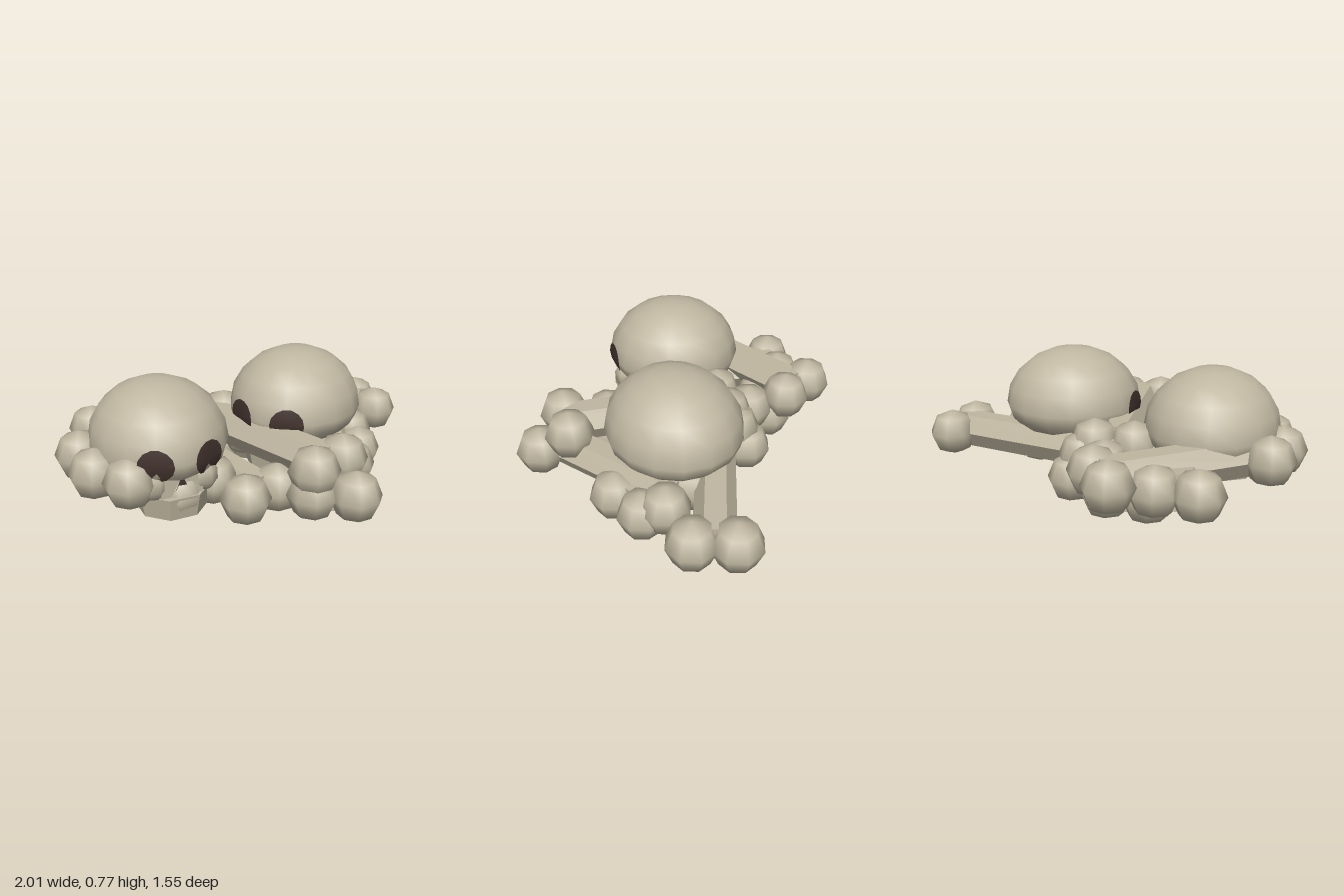
import * as THREE from 'three';

const bone = new THREE.MeshStandardMaterial({ color: 0xc0b7a1 });
bone.name = 'bone';
const hollow = new THREE.MeshStandardMaterial({ color: 0x43332e });
hollow.name = 'hollow';

function add(parent, name, geometry, material, x = 0, y = 0, z = 0) {
  const mesh = new THREE.Mesh(geometry, material);
  mesh.name = name;
  mesh.position.set(x, y, z);
  parent.add(mesh);
  return mesh;
}

// Gives a geometry hard edges
function faceted(geometry) {
  const flat = geometry.index ? geometry.toNonIndexed() : geometry;
  flat.computeVertexNormals();
  return flat;
}

// Long bone: six-sided shaft with a flat top and a pair of knobs at each end
const knob = new THREE.SphereGeometry(0.137, 8, 4);
function makeBone(a, b) {
  const g = new THREE.Group();
  g.name = 'longBone';
  const start = new THREE.Vector3(...a), end = new THREE.Vector3(...b);
  const dir = end.clone().sub(start);
  const shaft = new THREE.CylinderGeometry(0.108, 0.108, dir.length(), 6);
  shaft.rotateY(Math.PI / 6);
  shaft.rotateX(Math.PI / 2);
  const mesh = add(g, 'shaft', faceted(shaft), bone);
  mesh.position.copy(start).add(end).multiplyScalar(0.5);
  mesh.lookAt(end);
  const side = new THREE.Vector3(dir.z, 0, -dir.x).normalize().multiplyScalar(0.108);
  for (const p of [start, end]) {
    for (const s of [-1, 1]) add(g, 'knob', knob, bone, p.x + s * side.x, p.y, p.z + s * side.z);
  }
  return g;
}

// Cranium radii: width, upper height, lower height, depth
const RX = 0.365, RUP = 0.325, RLOW = 0.205, RZ = 0.39;

// Lays a flat outline in x, y onto the front of the cranium
function wrapOnCranium(geometry) {
  const p = geometry.attributes.position;
  for (let i = 0; i < p.count; i++) {
    const x = p.getX(i), y = p.getY(i), ry = y > 0 ? RUP : RLOW;
    p.setZ(i, RZ * Math.sqrt(Math.max(0, 1 - (x / RX) ** 2 - (y / ry) ** 2)) + 0.005);
  }
  geometry.computeVertexNormals();
  return geometry;
}

function makeSkull(x, y, z, yaw) {
  const g = new THREE.Group();
  g.name = 'skull';
  g.position.set(x, y, z);
  g.rotation.y = yaw;

  // Domed top, flatter underside
  const cranium = new THREE.SphereGeometry(1, 16, 10);
  const p = cranium.attributes.position, n = cranium.attributes.normal;
  for (let i = 0; i < p.count; i++) {
    const px = p.getX(i), py = p.getY(i), pz = p.getZ(i), ry = py > 0 ? RUP : RLOW;
    p.setXYZ(i, px * RX, py * ry, pz * RZ);
    const normal = new THREE.Vector3(px / RX, py / ry, pz / RZ).normalize();
    n.setXYZ(i, normal.x, normal.y, normal.z);
  }
  add(g, 'cranium', cranium, bone);

  for (const s of [-1, 1]) {
    // Eye socket with a cheekbone filling its lower edge
    const socket = new THREE.CircleGeometry(0.085, 14);
    socket.scale(1, 1.1, 1);
    socket.translate(s * 0.14, 0, 0);
    add(g, 'eyeSocket', wrapOnCranium(socket), hollow);
    const cheek = add(g, 'cheekbone', new THREE.SphereGeometry(0.09, 7, 5), bone, s * 0.135, -0.115, 0.28);
    cheek.scale.set(0.85, 1, 0.85);
  }

  // Upper jaw with the nose opening on its front
  add(g, 'upperJaw', new THREE.BoxGeometry(0.22, 0.12, 0.2), bone, 0, -0.15, 0.23);
  const nose = new THREE.Shape([[-0.045, -0.05], [0.045, -0.05], [0, 0.05]].map(v => new THREE.Vector2(...v)));
  add(g, 'noseOpening', new THREE.ShapeGeometry(nose), hollow, 0, -0.125, 0.335);

  // Rounded lower jaw
  const jaw = new THREE.CylinderGeometry(0.21, 0.185, 0.125, 8);
  jaw.rotateY(Math.PI / 8);
  add(g, 'lowerJaw', faceted(jaw), bone, 0, -0.25, 0.17);
  return g;
}

export function createModel() {
  const model = new THREE.Group();
  model.name = 'bonePile';

  // Crossed bones, each from end to end
  const bones = [
    [[-0.5, 0.32, -0.5], [-0.765, 0.33, 0.33]],
    [[-0.685, 0.32, 0.555], [-0.17, 0.27, -0.235]],
    [[0.4, 0.34, 0.53], [-0.175, 0.33, -0.16]],
    [[0.07, 0.15, 0.455], [-0.47, 0.17, -0.31]],
    [[-0.775, 0.27, -0.255], [-0.27, 0.2, 0.44]],
    [[0.825, 0.24, -0.54], [-0.02, 0.26, -0.19]],
    [[0.42, 0.21, 0.615], [0.555, 0.2, -0.22]],
    [[0.65, 0.137, 0.02], [-0.1, 0.15, -0.26]],
  ];
  for (const [a, b] of bones) model.add(makeBone(a, b));

  // Two skulls resting on top
  model.add(makeSkull(-0.46, 0.415, 0.285, 0.37));
  model.add(makeSkull(0.31, 0.445, -0.085, -0.63));
  return model;
}
